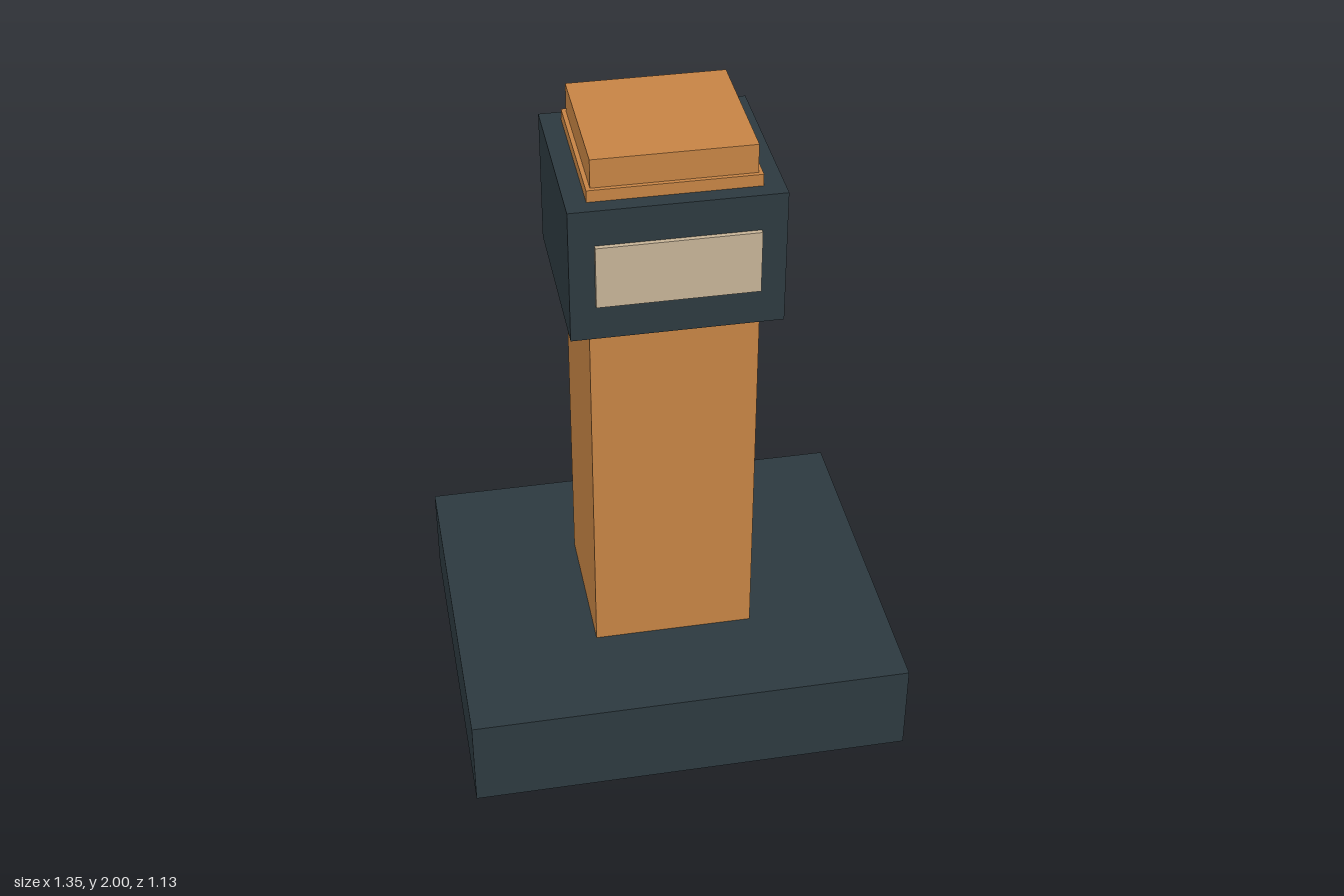
import * as THREE from 'three';

export function createModel() {
  const model = new THREE.Group();
  model.name = 'pedestal';

  const material = (name, color) => {
    const m = new THREE.MeshStandardMaterial({ color });
    m.name = name;
    return m;
  };
  const slate = material('dark slate', 0x2d3a40);
  const copper = material('copper orange', 0xc88545);
  const tan = material('pale tan', 0xc8b598);

  // Box spanning bottom..top in height, centred on x and on the given z
  const block = (name, mat, width, depth, bottom, top, z = 0) => {
    const mesh = new THREE.Mesh(new THREE.BoxGeometry(width, top - bottom, depth), mat);
    mesh.name = name;
    mesh.position.set(0, (bottom + top) / 2, z);
    model.add(mesh);
  };

  // Base slab, and the column rising through the collar to a stepped cap
  block('base', slate, 1.35, 1.128, 0, 0.294);
  block('column', copper, 0.49, 0.465, 0.294, 1.913);
  block('cap', copper, 0.465, 0.44, 1.913, 2);
  block('collar', slate, 0.61, 0.562, 1.463, 1.877);

  // Blank plaques on the front and back of the collar
  for (const [name, side] of [['frontPlaque', 1], ['backPlaque', -1]]) {
    block(name, tan, 0.465, 0.03, 1.575, 1.767, side * 0.28);
  }

  return model;
}
